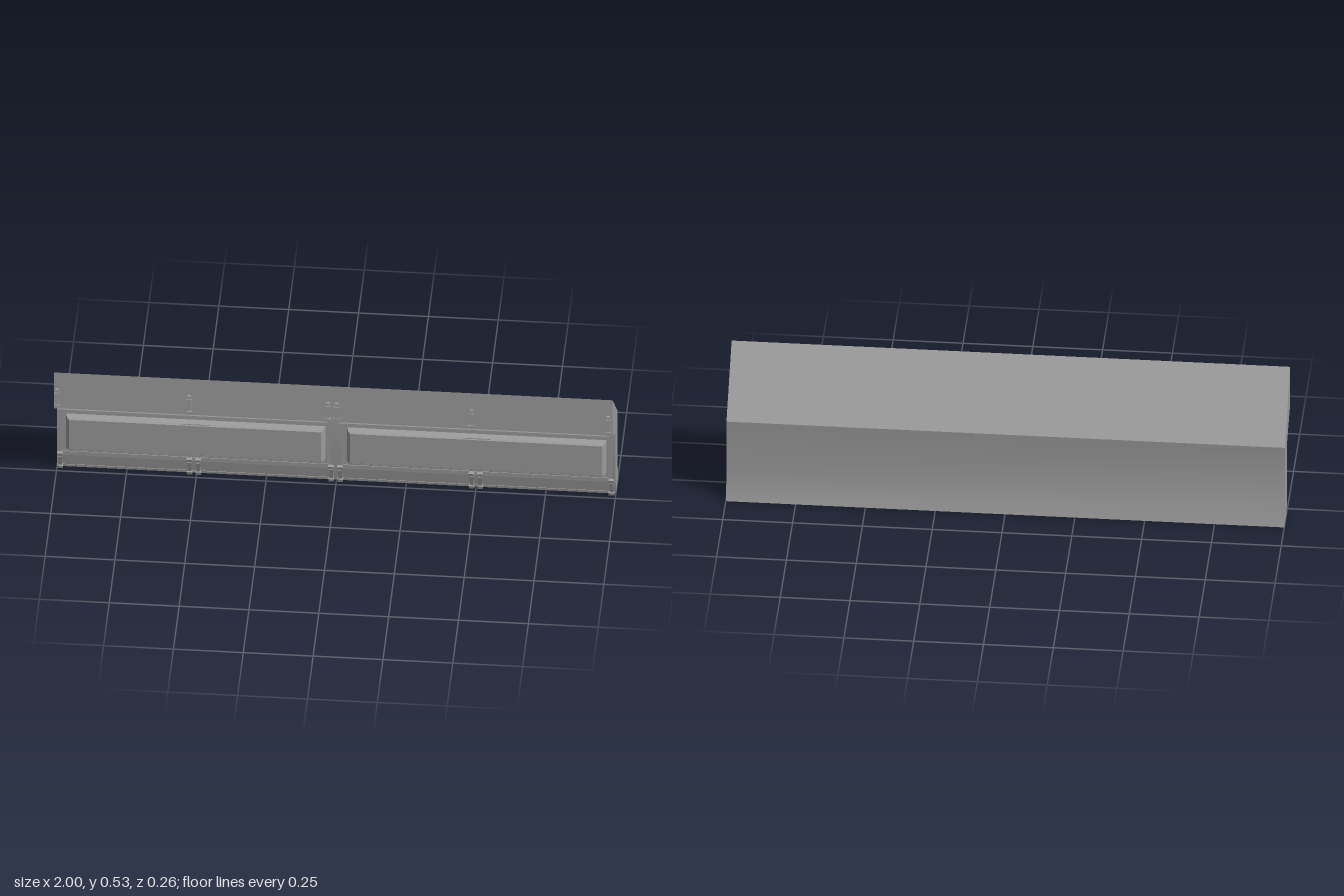
import * as THREE from 'three';
import { toCreasedNormals } from 'three/addons/utils/BufferGeometryUtils.js';

const smooth = new THREE.MeshStandardMaterial({ color: 0x9c9c9c });
const flat = new THREE.MeshStandardMaterial({ color: 0x9c9c9c, flatShading: true });

// Extrudes a [z, y] section along x, centred on x
function section(name, points, length, x = 0) {
  const shape = new THREE.Shape(points.map(([z, y]) => new THREE.Vector2(z, y)));
  const geometry = new THREE.ExtrudeGeometry(shape, { depth: length, bevelEnabled: false });
  geometry.translate(0, 0, -length / 2).rotateY(-Math.PI / 2);
  const mesh = new THREE.Mesh(geometry, flat);
  mesh.name = name;
  mesh.position.x = x;
  return mesh;
}

// Strip on a sloping face from a to b ([z, y]), t0..t1 along it, h0 and h1 high at its edges
function strip(name, a, b, [t0, t1, h0, h1], length, x) {
  const dz = b[0] - a[0], dy = b[1] - a[1], l = Math.hypot(dz, dy);
  const n = [dy / l, -dz / l];
  const at = (t, h) => [a[0] + dz * t + n[0] * h, a[1] + dy * t + n[1] * h];
  return section(name, [at(t0, -0.002), at(t0, h0), at(t1, h1), at(t1, -0.002)], length, x);
}

function box(name, w, h, d, x, y, z) {
  const mesh = new THREE.Mesh(new THREE.BoxGeometry(w, h, d), flat);
  mesh.name = name;
  mesh.position.set(x, y, z);
  return mesh;
}

function rectangle(target, w, y0, y1) {
  return target.moveTo(-w, y0).lineTo(w, y0).lineTo(w, y1).lineTo(-w, y1).closePath();
}

// Beveled cushion inside a thin frame
function cushionPanel(x, width) {
  const group = new THREE.Group();
  group.name = 'cushionPanel';
  const rings = [[0, 0, -0.02], [0.007, 0.004, 0.003], [0.014, 0.009, 0.009]];
  const y0 = 0.102, y1 = 0.252, w = width / 2;
  const corners = ([ix, iy, z]) => [
    [-w + ix, y0 + iy, z], [w - ix, y0 + iy, z], [w - ix, y1 - iy, z], [-w + ix, y1 - iy, z]];
  const pos = [];
  const quad = (a, b, c, d) => pos.push(...a, ...b, ...c, ...a, ...c, ...d);
  for (let r = 0; r < 2; r++) {
    const p = corners(rings[r]), q = corners(rings[r + 1]);
    for (let i = 0; i < 4; i++) quad(p[i], p[(i + 1) % 4], q[(i + 1) % 4], q[i]);
  }
  quad(...corners(rings[2]));
  const geometry = new THREE.BufferGeometry();
  geometry.setAttribute('position', new THREE.Float32BufferAttribute(pos, 3));
  geometry.computeVertexNormals();
  const pad = new THREE.Mesh(geometry, flat);
  pad.name = 'cushion';

  const outline = rectangle(new THREE.Shape(), w + 0.02, 0.089, 0.279);
  outline.holes.push(rectangle(new THREE.Path(), w + 0.006, 0.096, 0.27));
  const frame = new THREE.Mesh(
    new THREE.ExtrudeGeometry(outline, { depth: 0.006, bevelEnabled: false }), flat);
  frame.name = 'cushionFrame';
  frame.position.z = -0.0215;

  group.add(pad, frame, box('pullTab', 0.1, 0.005, 0.003, 0, 0.246, 0.0045));
  group.position.x = x;
  return group;
}

// Bar handle from a to b ([z, y]) with a foot centred at each given [z, y, width]
function handle(name, x, a, b, barWidth, feet) {
  const group = new THREE.Group();
  group.name = name;
  const dz = b[0] - a[0], dy = b[1] - a[1];
  const bar = box('bar', barWidth, Math.hypot(dz, dy), 0.008, 0, (a[1] + b[1]) / 2, (a[0] + b[0]) / 2);
  bar.rotation.x = Math.atan2(dz, dy);
  group.add(bar);
  for (const [z, y, width] of feet) {
    const foot = box('foot', width, 0.013, 0.011, 0, y, z);
    foot.rotation.x = bar.rotation.x;
    group.add(foot);
  }
  group.position.x = x;
  return group;
}

export function createModel() {
  const model = new THREE.Group();
  model.name = 'wallModule';

  const toeBottom = [-0.03, 0.004], toeTop = [-0.016, 0.09];
  const soffitBack = [-0.018, 0.287], soffitFront = [0.115, 0.376];

  // Solid body with leaning top and a softly flared foot
  const body = section('body', [
    [0.11, 0.533], [-0.1, 0.323], [-0.095, 0.105], [-0.128, 0.005],
    toeBottom, toeTop, soffitBack, soffitFront,
  ], 2);
  body.geometry = toCreasedNormals(body.geometry, 0.4);
  body.material = smooth;
  model.add(body);

  for (const x of [-0.503, 0.503]) {
    model.add(cushionPanel(x, 0.93));
    // Louvres under the overhang, with a plain edge strip at the front
    for (let i = 0; i < 4; i++) {
      const t = 0.03 + i * 0.18;
      model.add(strip('soffitLouvre', soffitBack, soffitFront, [t, t + 0.16, 0.006, 0], 0.955, x));
    }
    model.add(strip('soffitEdge', soffitBack, soffitFront, [0.78, 0.98, 0.005, 0.004], 0.965, x));
    // Flat panel and rails along the foot
    model.add(strip('toePanel', toeBottom, toeTop, [0.12, 0.75, 0.001, 0.001], 0.96, x));
    model.add(strip('upperToeRail', toeBottom, toeTop, [0.72, 0.92, 0.004, 0.002], 0.96, x));
    model.add(strip('lowerToeRail', toeBottom, toeTop, [0.02, 0.14, 0.003, 0.003], 0.96, x));
  }

  // Handles along the overhang front and the foot
  for (const x of [-0.988, -0.515, -0.018, 0.012, 0.495, 0.985]) {
    model.add(handle('upperHandle', x, [0.122, 0.383], [0.12, 0.449], 0.018,
      [[0.124, 0.394, 0.02], [0.116, 0.456, 0.012]]));
  }
  for (const x of [-0.988, -0.525, -0.494, -0.018, 0.014, 0.485, 0.515, 0.985]) {
    model.add(handle('lowerHandle', x, [-0.025, 0.006], [-0.008, 0.066], 0.014,
      [[-0.02, 0.012, 0.02], [-0.008, 0.076, 0.02]]));
  }
  return model;
}
